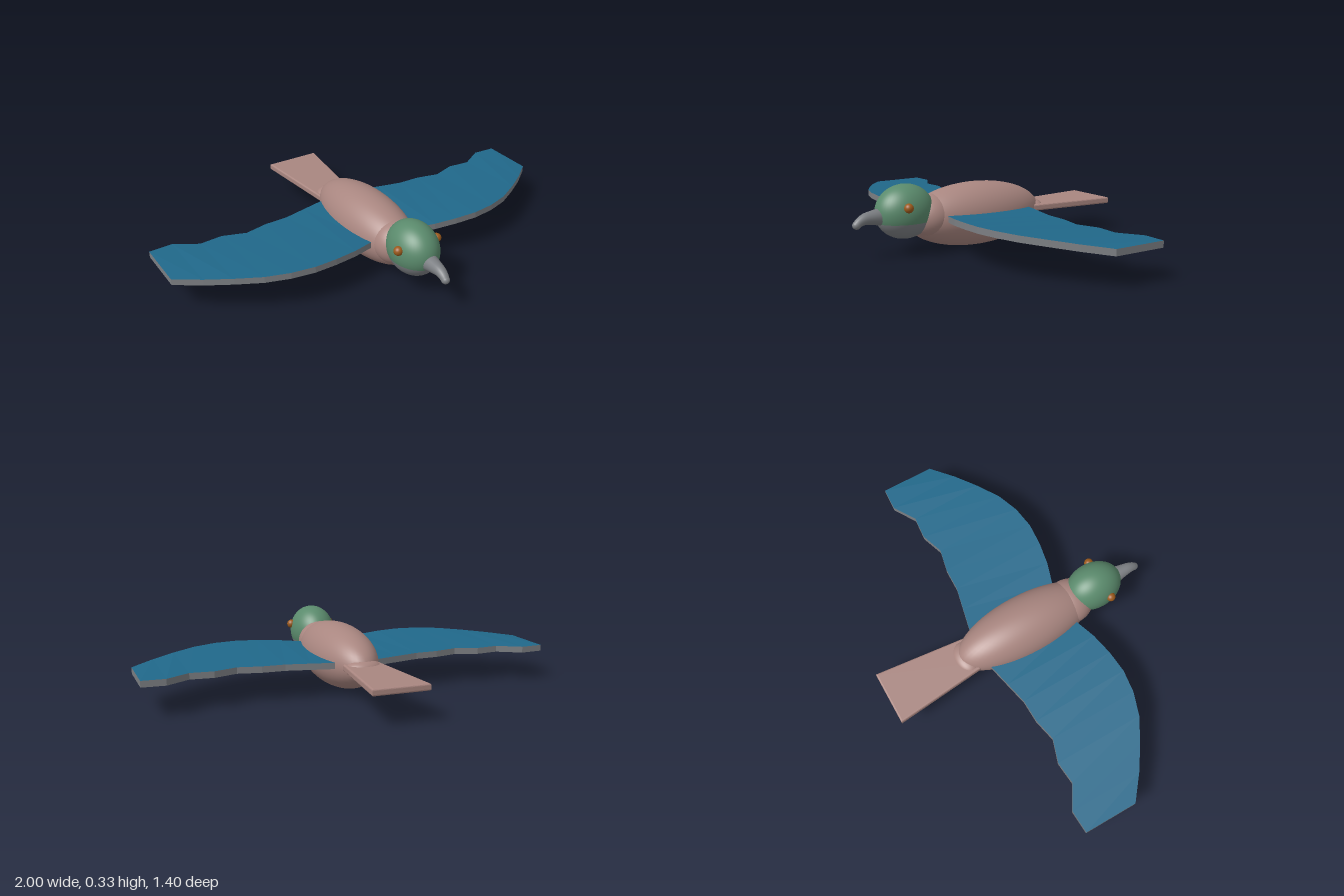
import * as THREE from 'three';

const material = (name, color, extra = {}) => Object.assign(new THREE.MeshStandardMaterial({ color, ...extra }), { name });

export function createModel() {
  const bird = new THREE.Group();
  bird.name = 'bird';
  const pink = material('dusty pink plumage', 0xa98680);
  const green = material('green crown', 0x5a8a6c);
  const grey = material('grey', 0x7b7e82);
  const blue = material('blue wing top', 0x20688a);
  const amber = material('amber eye', 0x9c5a1c);

  const add = (name, geometry, mat, parent = bird) => {
    const mesh = new THREE.Mesh(geometry, mat);
    mesh.name = name;
    parent.add(mesh);
    return mesh;
  };

  // Sphere stretched to the given radii; from/to limit the polar angle
  const ellipsoid = (name, mat, [x, y, z], [rx, ry, rz], from = 0, to = Math.PI) => {
    const g = new THREE.SphereGeometry(1, 48, 32, 0, Math.PI * 2, from, to - from);
    g.scale(rx, ry, rz).translate(x, y, z);
    return add(name, g, mat);
  };

  // Body, neck and tail root
  ellipsoid('body', pink, [0, 0.153, 0.05], [0.15, 0.153, 0.37]);
  ellipsoid('neck', pink, [0, 0.165, 0.3], [0.113, 0.105, 0.12]);
  ellipsoid('tailRoot', pink, [0, 0.156, -0.28], [0.085, 0.038, 0.06]);

  // Head: green crown above a grey throat
  const headAt = [0, 0.2025, 0.435], headSize = [0.11, 0.1275, 0.145], split = 1.93;
  ellipsoid('crown', green, headAt, headSize, 0, split);
  ellipsoid('throat', grey, headAt, headSize, split, Math.PI);
  for (const s of [1, -1]) {
    ellipsoid(s > 0 ? 'leftEye' : 'rightEye', amber, [s * 0.104, 0.235, 0.47], [0.022, 0.022, 0.022]);
  }

  // Hooked beak: tube narrowed along its length, with a round tip
  const path = new THREE.CatmullRomCurve3([
    [0.55, 0.19], [0.6, 0.19], [0.64, 0.187], [0.665, 0.176], [0.679, 0.164],
  ].map(([z, y]) => new THREE.Vector3(0, y, z)));
  const rings = 20, sides = 20;
  const beak = new THREE.TubeGeometry(path, rings, 1, sides);
  const p = new THREE.Vector3(), n = new THREE.Vector3();
  for (let i = 0; i < beak.attributes.position.count; i++) {
    const u = Math.floor(i / (sides + 1)) / rings;
    n.fromBufferAttribute(beak.attributes.normal, i);
    p.copy(path.getPointAt(u)).addScaledVector(n, 0.045 - 0.026 * Math.pow(u, 0.8));
    beak.attributes.position.setXYZ(i, p.x, p.y, p.z);
  }
  add('beak', beak, grey);
  ellipsoid('beakTip', grey, [0, 0.164, 0.679], [0.019, 0.019, 0.02]);

  // Tail: flat fan with softened edges
  const b = 0.008;
  const fan = new THREE.Shape([
    [-0.075, 0.2], [0.075, 0.2], [0.135 - b, 0.7 - b], [-0.135 + b, 0.7 - b],
  ].map(([x, y]) => new THREE.Vector2(x, y)));
  const tail = new THREE.ExtrudeGeometry(fan, {
    depth: 0.032 - 2 * b, bevelSize: b, bevelThickness: b, bevelSegments: 4,
  });
  tail.rotateX(-Math.PI / 2).translate(0, 0.14 + b, 0);
  add('tail', tail, pink);

  // Wings: ten ribs, each with a leading and a trailing z
  const lead = [0.22, 0.27, 0.305, 0.325, 0.333, 0.318, 0.28, 0.215, 0.14, 0.05];
  const trail = [-0.22, -0.2, -0.175, -0.15, -0.147, -0.123, -0.16, -0.15, -0.217, -0.211];
  const thickness = 0.03;

  // Faceted strip of quads between two rows of points
  const strip = (rowA, rowB, side) => {
    const out = [];
    for (let i = 0; i < rowA.length - 1; i++) {
      const quad = [rowA[i], rowA[i + 1], rowB[i + 1], rowA[i], rowB[i + 1], rowB[i]];
      if (side < 0) quad.reverse();
      quad.forEach(([x, y, z]) => out.push(side * x, y, z));
    }
    const g = new THREE.BufferGeometry();
    g.setAttribute('position', new THREE.Float32BufferAttribute(out, 3));
    g.computeVertexNormals();
    return g;
  };

  const row = (zs, arch, lift) => zs.map((z, i) => {
    const x = i / 9;
    return [x, 0.141 + arch * Math.sin(Math.PI * x) + lift, z];
  });
  const leadLow = row(lead, 0.025, 0), leadHigh = row(lead, 0.025, thickness);
  const trailLow = row(trail, 0, 0), trailHigh = row(trail, 0, thickness);

  for (const side of [1, -1]) {
    const wing = new THREE.Group();
    wing.name = side > 0 ? 'leftWing' : 'rightWing';
    bird.add(wing);
    add('wingTop', strip(leadHigh, trailHigh, side), blue, wing);
    add('wingUnderside', strip(trailLow, leadLow, side), pink, wing);
    add('leadingEdge', strip(leadLow, leadHigh, side), grey, wing);
    add('trailingEdge', strip(trailHigh, trailLow, side), grey, wing);
    add('wingTip', strip([leadLow[9], trailLow[9]], [leadHigh[9], trailHigh[9]], side), grey, wing);
  }
  return bird;
}
